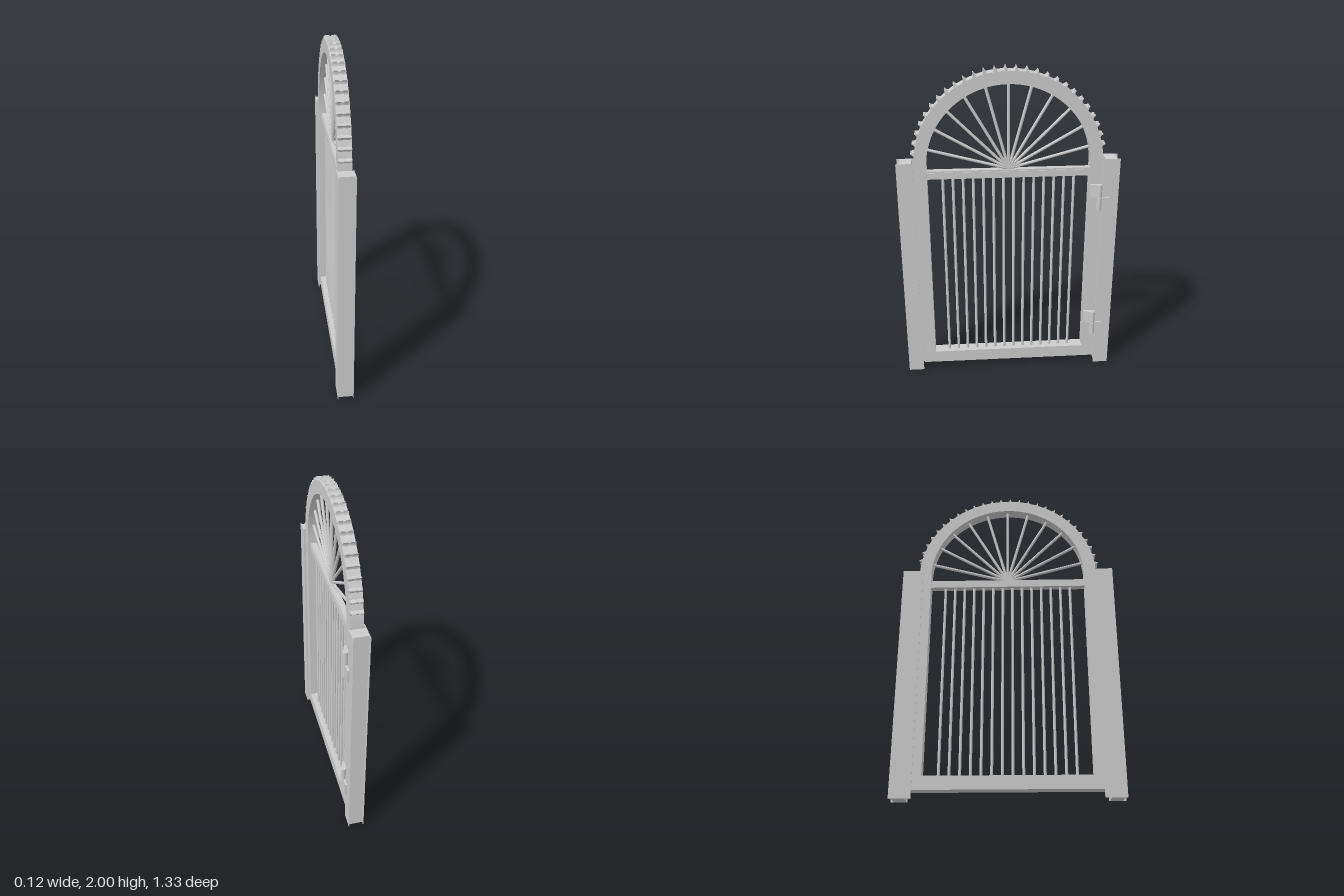
import * as THREE from 'three';

// The gate is laid out facing +z (width on x, depth on z), then turned to face +x.
export function createModel() {
  const model = new THREE.Group();
  const gate = new THREE.Group();
  gate.name = 'archedGate';
  gate.rotation.y = Math.PI / 2;
  model.add(gate);

  const material = new THREE.MeshStandardMaterial({ color: 0xcccccc });
  const add = (name, geometry, parent = gate) => {
    const mesh = new THREE.Mesh(geometry, material);
    mesh.name = name;
    parent.add(mesh);
    return mesh;
  };
  // Box given by its limits
  const box = (name, x0, x1, y0, y1, z0, z1, parent) => {
    const mesh = add(name, new THREE.BoxGeometry(x1 - x0, y1 - y0, z1 - z0), parent);
    mesh.position.set((x0 + x1) / 2, (y0 + y1) / 2, (z0 + z1) / 2);
    return mesh;
  };
  // Round bar between two points
  const rod = (name, a, b, radius, sides = 12, parent = gate) => {
    const dir = b.clone().sub(a);
    const mesh = add(name, new THREE.CylinderGeometry(radius, radius, dir.length(), sides), parent);
    mesh.position.copy(a).add(b).multiplyScalar(0.5);
    mesh.quaternion.setFromUnitVectors(new THREE.Vector3(0, 1, 0), dir.normalize());
    return mesh;
  };
  const polygon = (points) => new THREE.Shape(points.map(([x, y]) => new THREE.Vector2(x, y)));

  const back = -0.05, front = 0.025, mid = (back + front) / 2;
  const archY = 1.42, outer = 0.56, inner = 0.485;

  // Posts: I-section with a longer back flange that stops the gate
  for (const s of [-1, 1]) {
    const post = new THREE.Group();
    post.name = s < 0 ? 'latchPost' : 'hingePost';
    gate.add(post);
    const side = (name, x0, x1, z0, z1) =>
      box(name, Math.min(s * x0, s * x1), Math.max(s * x0, s * x1), 0, 1.45, z0, z1, post);
    side('postCore', 0.573, 0.645, -0.058, 0.033);
    side('backFlange', 0.537, 0.663, -0.06, -0.056);
    side('frontFlange', 0.567, 0.663, 0.031, 0.035);
  }

  // Arched frame with its opening
  const archOutline = (path, r, bottom) => {
    path.moveTo(-r, bottom);
    path.lineTo(r, bottom);
    path.lineTo(r, archY);
    path.absarc(0, archY, r, 0, Math.PI, false);
    path.lineTo(-r, bottom);
    return path;
  };
  const frameShape = archOutline(new THREE.Shape(), outer, 0.05);
  frameShape.holes.push(archOutline(new THREE.Path(), inner, 0.13));
  const frame = new THREE.ExtrudeGeometry(frameShape, {
    depth: front - back, bevelEnabled: false, curveSegments: 48,
  });
  add('archedFrame', frame.translate(0, 0, back));

  // Cross rail with a thin cap
  box('crossRail', -inner, inner, 1.34, 1.38, -0.035, 0.01);
  box('crossRailCap', -inner, inner, 1.38, 1.39, -0.031, 0.006);

  // Upright bars
  for (let i = 0; i < 14; i++) {
    const x = (i - 6.5) * 0.0605;
    rod('uprightBar', new THREE.Vector3(x, 0.125, mid), new THREE.Vector3(x, 1.345, mid), 0.0085);
  }

  // Sunburst spokes, each ending on the inner arch
  const hub = new THREE.Vector3(0, 1.39, mid);
  for (let i = 1; i <= 11; i++) {
    const a = (i * Math.PI) / 12;
    const drop = archY - hub.y;
    const length = drop * Math.sin(a) + Math.sqrt(inner ** 2 - (drop * Math.cos(a)) ** 2) + 0.004;
    const tip = new THREE.Vector3(Math.cos(a) * length, Math.sin(a) * length, 0).add(hub);
    rod('sunburstSpoke', hub, tip, 0.009);
  }

  // Spiked strip over the arch: two points per tooth with a lower notch between
  const prism = (height, z0, z1) => new THREE.ExtrudeGeometry(
    polygon([[-0.016, -0.004], [0.016, -0.004], [0.006, 0.4 * height], [0.002, height], [-0.002, height], [-0.006, 0.4 * height]]),
    { depth: z1 - z0, bevelEnabled: false },
  ).translate(0, 0, z0);
  const toothParts = [
    prism(0.009, back, front),
    prism(0.022, back + 0.006, mid - 0.009),
    prism(0.014, mid - 0.009, mid + 0.009),
    prism(0.022, mid + 0.009, front - 0.006),
  ];
  for (let i = -13; i <= 13; i++) {
    const a = THREE.MathUtils.degToRad(91.8 + i * 6.15);
    const tooth = new THREE.Group();
    tooth.name = 'archSpike';
    tooth.position.set(Math.cos(a) * outer, archY + Math.sin(a) * outer, 0);
    tooth.rotation.z = a - Math.PI / 2;
    toothParts.forEach((g) => add('spikePart', g, tooth));
    gate.add(tooth);
  }

  // Lift-off hinges: gate leaf above, post leaf below, on a shared pin.
  // Leaf outlines are drawn in plan (x, depth) and extruded upward.
  const leaf = (name, points, y0, height, parent) => {
    const g = new THREE.ExtrudeGeometry(polygon(points.map(([x, z]) => [x, -z])), {
      depth: height, bevelEnabled: false,
    });
    add(name, g.rotateX(-Math.PI / 2).translate(0, y0, 0), parent);
  };
  for (const y of [0.242, 1.128]) {
    const hinge = new THREE.Group();
    hinge.name = 'hinge';
    hinge.position.y = y;
    gate.add(hinge);
    const px = 0.545, pz = 0.045;
    const up = (h) => new THREE.Vector3(px, h, pz);
    rod('lowerKnuckle', up(0), up(0.08), 0.015, 20, hinge);
    rod('upperKnuckle', up(0.082), up(0.162), 0.015, 20, hinge);
    rod('hingePin', up(0.002), up(0.164), 0.006, 12, hinge);
    leaf('postLeaf', [[0.545, 0.034], [0.607, 0.034], [0.607, 0.048], [0.545, 0.048]], 0, 0.08, hinge);
    leaf('gateLeaf', [[0.487, 0.024], [0.552, 0.024], [0.557, 0.04], [0.542, 0.058], [0.487, 0.036]], 0.082, 0.08, hinge);
  }

  return model;
}
